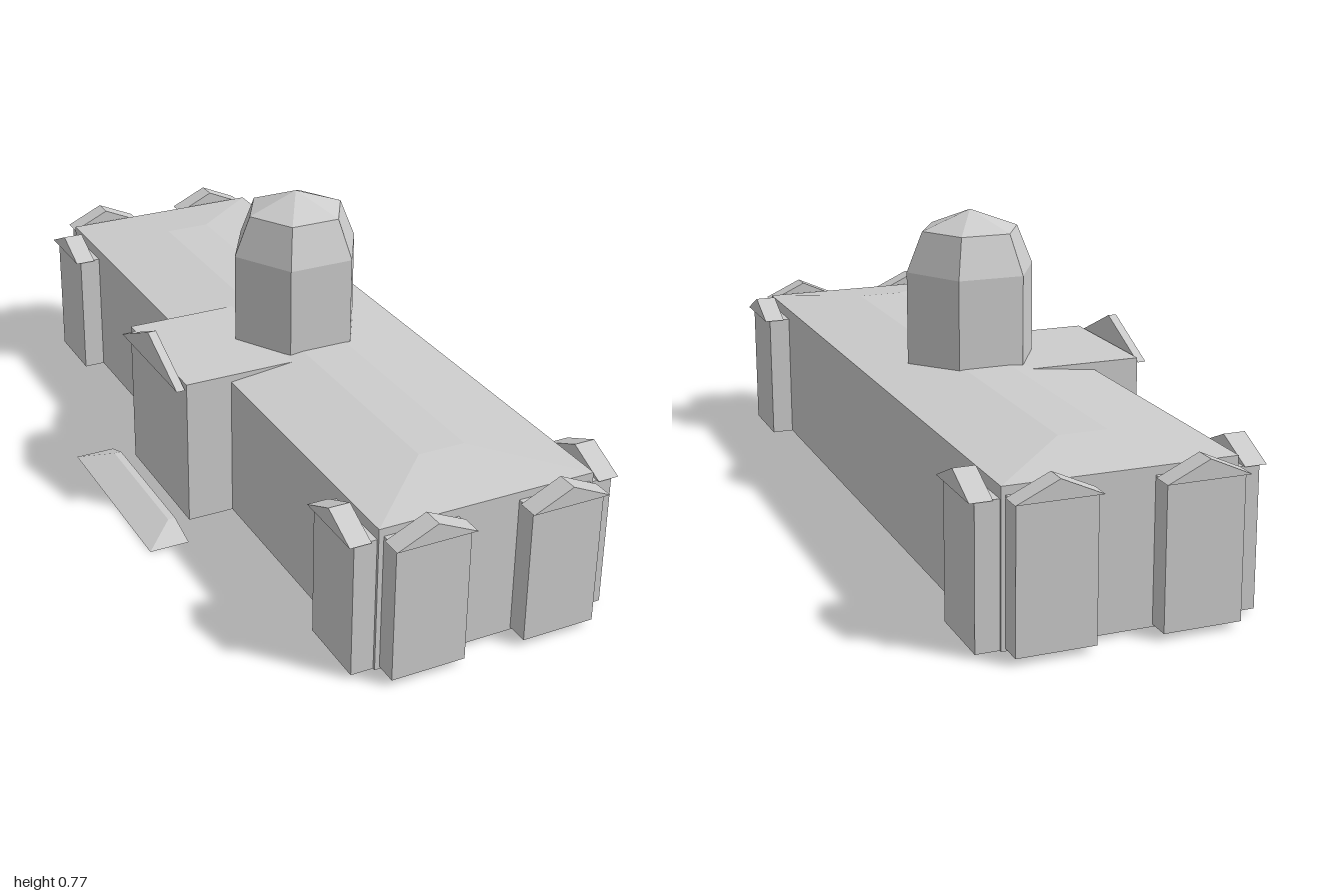
import * as THREE from 'three';

const stone = new THREE.MeshStandardMaterial({ color: 0xcccccc, flatShading: true, side: THREE.DoubleSide });
stone.name = 'pale stone';

// Box between two corners; skip lists faces left open (0 +x, 1 -x, 2 +y, 3 -y, 4 +z, 5 -z)
function block([x0, y0, z0], [x1, y1, z1], skip = []) {
  const g = new THREE.BoxGeometry(x1 - x0, y1 - y0, z1 - z0);
  g.translate((x0 + x1) / 2, (y0 + y1) / 2, (z0 + z1) / 2);
  const index = Array.from(g.index.array);
  g.setIndex(index.filter((_, i) => !skip.includes(Math.floor(i / 6))));
  g.clearGroups();
  return g;
}

// Block whose top is shrunk to the given rectangle
function tapered(a, b, [tx0, tx1, tz], skip) {
  const g = block(a, b, skip);
  const p = g.attributes.position;
  const midX = (a[0] + b[0]) / 2, midY = (a[1] + b[1]) / 2;
  for (let i = 0; i < p.count; i++) {
    if (p.getY(i) < midY) continue;
    p.setX(i, p.getX(i) < midX ? tx0 : tx1);
    p.setZ(i, Math.sign(p.getZ(i)) * tz);
  }
  g.computeVertexNormals();
  return g;
}

// Triangular prism, base at y = 0, facing +z from z0 to z1
function gable(width, height, z0, z1) {
  const s = new THREE.Shape();
  s.moveTo(-width / 2, 0);
  s.lineTo(width / 2, 0);
  s.lineTo(0, height);
  s.closePath();
  const g = new THREE.ExtrudeGeometry(s, { depth: z1 - z0, bevelEnabled: false });
  return g.translate(0, 0, z0);
}

export function createModel() {
  const model = new THREE.Group();
  const add = (name, geometry, parent = model) => {
    const m = new THREE.Mesh(geometry, stone);
    m.name = name;
    parent.add(m);
    return m;
  };

  // Long hall, open underneath, with a shallow hipped roof
  add('hallWalls', block([-0.18, 0.01, -0.93], [0.37, 0.376, 0.93], [2, 3]));
  add('hallRoof', tapered([-0.18, 0.376, -0.93], [0.37, 0.4, 0.93], [0.035, 0.155, 0.725], [3]));

  // Flat-topped entrance wing, open underneath and at its inner end
  add('entranceWing', block([-0.3, 0.01, -0.185], [0.095, 0.395, 0.18], [0, 3]));
  const pediment = add('entrancePediment', gable(0.36, 0.084, 0, 0.022));
  pediment.rotation.y = -Math.PI / 2;
  pediment.position.set(-0.304, 0.381, 0);

  // Sloped entrance step with mitred ends
  add('entranceStep', tapered([-0.44, 0, -0.26], [-0.337, 0.03, 0.26], [-0.36, -0.341, 0.185]));

  // Hexagonal tower with a stepped dome
  const profile = [[0.17, 0.385], [0.17, 0.625], [0.128, 0.726], [0, 0.775]]
    .map(([r, y]) => new THREE.Vector2(r, y));
  const tower = add('tower', new THREE.LatheGeometry(profile, 6, Math.PI / 2));
  tower.position.x = 0.085;

  // Corner buttresses, each with a projecting gabled cap
  function buttress(name, x, z, turn, bottom, top) {
    const group = new THREE.Group();
    group.name = name;
    group.position.set(x, 0, z);
    group.rotation.y = turn;
    add('buttressShaft', block([-0.093, bottom, 0], [0.093, top, 0.056], [3, 5]), group);
    const cap = add('buttressCap', gable(0.2, 0.046, 0.017, 0.07), group);
    cap.position.y = top;
    model.add(group);
  }
  for (const end of [1, -1]) {
    for (const x of [-0.075, 0.267]) {
      buttress('endButtress', x, end * 0.93, end > 0 ? 0 : Math.PI, 0.016, 0.356);
    }
    buttress('leftButtress', 0.37, end * 0.83, Math.PI / 2, 0.01, 0.347);
    buttress('rightButtress', -0.18, end * 0.83, -Math.PI / 2, 0.01, 0.347);
  }

  return model;
}
